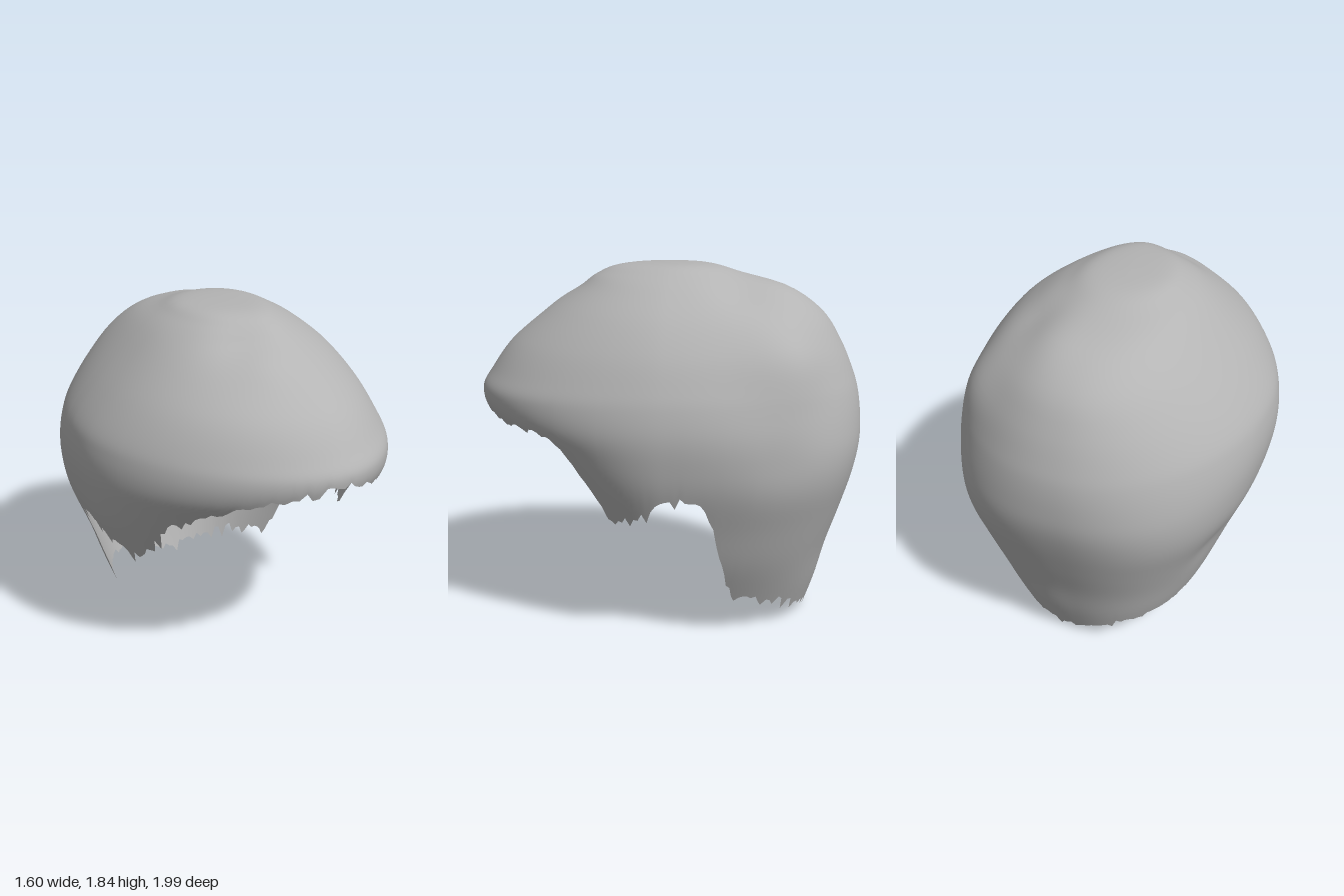
import * as THREE from 'three';

// Horizontal sections from crown to nape: y, front reach, back reach, right (-x) reach, left (+x) reach
const SECTIONS = [
  [1.845, 0, 0, 0, 0],
  [1.835, 0.27, 0.2, 0.2, 0.17],
  [1.79, 0.4, 0.36, 0.3, 0.28],
  [1.72, 0.49, 0.6, 0.4, 0.4],
  [1.6, 0.66, 0.78, 0.52, 0.55],
  [1.45, 0.84, 0.88, 0.65, 0.67],
  [1.3, 0.95, 0.945, 0.755, 0.745],
  [1.2, 1.0, 0.975, 0.79, 0.78],
  [1.08, 0.96, 0.99, 0.8, 0.8],
  [0.95, 0.82, 0.99, 0.785, 0.795],
  [0.8, 0.68, 0.96, 0.75, 0.77],
  [0.6, 0.56, 0.9, 0.675, 0.705],
  [0.4, 0.52, 0.835, 0.605, 0.64],
  [0.2, 0.48, 0.785, 0.53, 0.55],
  [0.0, 0.45, 0.72, 0.43, 0.46],
];

// Hairline: degrees from the front, height of the cut edge
const RIM_RIGHT = [[0, 1.18], [10, 1.15], [20, 1.11], [28, 1.07], [38, 1.0], [48, 0.93], [58, 0.8], [68, 0.63],
  [80, 0.67], [90, 0.75], [98, 0.79], [105, 0.74], [108, 0.58], [112, 0.33], [118, 0.21], [150, 0.17], [165, 0.15],
  [172, 0.08], [180, 0.04]];
const RIM_LEFT = [[0, 1.18], [12, 1.11], [25, 1.07], [40, 1.06], [50, 1.03], [58, 0.86], [68, 0.62],
  [80, 0.67], [90, 0.75], [98, 0.79], [105, 0.76], [109, 0.66], [113, 0.48], [118, 0.32], [123, 0.2], [145, 0.16],
  [158, 0.09], [165, 0.06], [180, 0.04]];

function lookUp(table, a) {
  let i = 0;
  while (i < table.length - 2 && a > table[i + 1][0]) i++;
  const [a0, v0] = table[i], [a1, v1] = table[i + 1];
  return THREE.MathUtils.lerp(v0, v1, THREE.MathUtils.clamp((a - a0) / (a1 - a0), 0, 1));
}

// Smooth value of one section column at fractional row u
function section(u, k) {
  const last = SECTIONS.length - 1;
  const i = Math.min(Math.floor(u), last - 1), t = u - i;
  const at = (j) => SECTIONS[THREE.MathUtils.clamp(j, 0, last)][k];
  const p1 = at(i), p2 = at(i + 1);
  const m1 = (p2 - at(i - 1)) / 2, m2 = (at(i + 2) - p1) / 2;
  const t2 = t * t, t3 = t2 * t;
  return (2 * t3 - 3 * t2 + 1) * p1 + (t3 - 2 * t2 + t) * m1 + (3 * t2 - 2 * t3) * p2 + (t3 - t2) * m2;
}

// Row at which the surface reaches height y
function rowAtHeight(y) {
  let lo = 0, hi = SECTIONS.length - 1;
  for (let i = 0; i < 24; i++) {
    const mid = (lo + hi) / 2;
    if (section(mid, 0) > y) lo = mid; else hi = mid;
  }
  return lo;
}

// Soft bumps and dents: centre, size, amount
const LUMPS = [
  [-0.12, 1.74, 0.4, 0.14, -0.02],
  [-0.1, 1.66, 0.58, 0.13, 0.012],
  [0.32, 1.74, -0.38, 0.15, -0.025],
  [0.15, 1.72, -0.6, 0.15, 0.012],
  [0.57, 1.42, -0.6, 0.2, 0.045],
  [0.62, 0.95, -0.55, 0.15, -0.012],
  [-0.6, 0.6, -0.45, 0.14, -0.015],
];
const lump = (x, y, z, [cx, cy, cz, size, amount]) =>
  amount * Math.exp(-((x - cx) ** 2 + (y - cy) ** 2 + (z - cz) ** 2) / (size * size));

// Squareness of a section in each quarter: [at the nape or fringe, at the crown]
const SQUARENESS = { frontLeft: [1.85, 1.76], frontRight: [1.85, 2.05], backLeft: [2.65, 2.16], backRight: [2.42, 2.04] };

function surfacePoint(u, angle) {
  const s = Math.sin(angle), c = Math.cos(angle);
  const y = section(u, 0);
  const zReach = Math.max(section(u, c > 0 ? 1 : 2), 1e-4);
  const xReach = Math.max(section(u, s > 0 ? 4 : 3), 1e-4);
  const [low, high] = SQUARENESS[(c > 0 ? 'front' : 'back') + (s > 0 ? 'Left' : 'Right')];
  const blend = c > 0 ? THREE.MathUtils.smoothstep(y, 1.2, 1.5) : THREE.MathUtils.smoothstep(y, 0.7, 1.3);
  const n = THREE.MathUtils.lerp(low, high, blend);
  const r = Math.pow(Math.pow(Math.abs(s) / xReach, n) + Math.pow(Math.abs(c) / zReach, n), -1 / n);
  let x = r * s;
  const z = r * c;
  // Forelock leans slightly to the left
  x += 0.07 * Math.max(0, z) ** 2;
  // Lumps push along the outward direction
  const d = LUMPS.reduce((sum, l) => sum + lump(x, y, z, l), 0);
  const out = new THREE.Vector3(x, y - 0.95, z).normalize().multiplyScalar(d);
  return [x + out.x, y + out.y, z + out.z];
}

function seeded(seed) {
  return () => {
    seed = (seed * 16807) % 2147483647;
    return seed / 2147483647;
  };
}

function hairGeometry(columns, rows) {
  const random = seeded(71);
  const position = [0, SECTIONS[0][0], 0];
  const index = [];
  const id = (row, col) => (row === 0 ? 0 : 1 + (row - 1) * columns + (col % columns));

  // Ragged row limit for every column, with a few longer wisps
  const limits = [];
  for (let j = 0; j < columns; j++) {
    const degrees = (j / columns) * 360;
    const y = lookUp(degrees > 180 ? RIM_RIGHT : RIM_LEFT, Math.min(degrees, 360 - degrees));
    const wisp = random() < 0.15 ? 0.08 * random() : 0;
    const jag = (random() - 0.5) * 0.035 - wisp;
    limits.push({ smooth: rowAtHeight(y), jagged: rowAtHeight(Math.max(0, y + jag)) });
  }

  for (let i = 1; i <= rows; i++) {
    const t = i / rows;
    for (let j = 0; j < columns; j++) {
      const { smooth, jagged } = limits[j];
      const u = smooth * t + (jagged - smooth) * Math.pow(t, 24);
      position.push(...surfacePoint(u, (j / columns) * Math.PI * 2));
    }
  }
  for (let i = 0; i < rows; i++) {
    for (let j = 0; j < columns; j++) {
      const a = id(i, j), b = id(i + 1, j), c = id(i, j + 1), d = id(i + 1, j + 1);
      if (i > 0) index.push(a, b, c);
      index.push(c, b, d);
    }
  }
  const geometry = new THREE.BufferGeometry();
  geometry.setAttribute('position', new THREE.Float32BufferAttribute(position, 3));
  geometry.setIndex(index);
  geometry.computeVertexNormals();
  return geometry;
}

export function createModel() {
  const model = new THREE.Group();
  model.name = 'hairpiece';
  const grey = new THREE.MeshStandardMaterial({ color: 0xb4b4b4, side: THREE.DoubleSide });
  grey.name = 'hair grey';

  // Open shell of hair with a ragged hairline
  const hair = new THREE.Mesh(hairGeometry(200, 56), grey);
  hair.name = 'hairShell';
  model.add(hair);
  return model;
}
